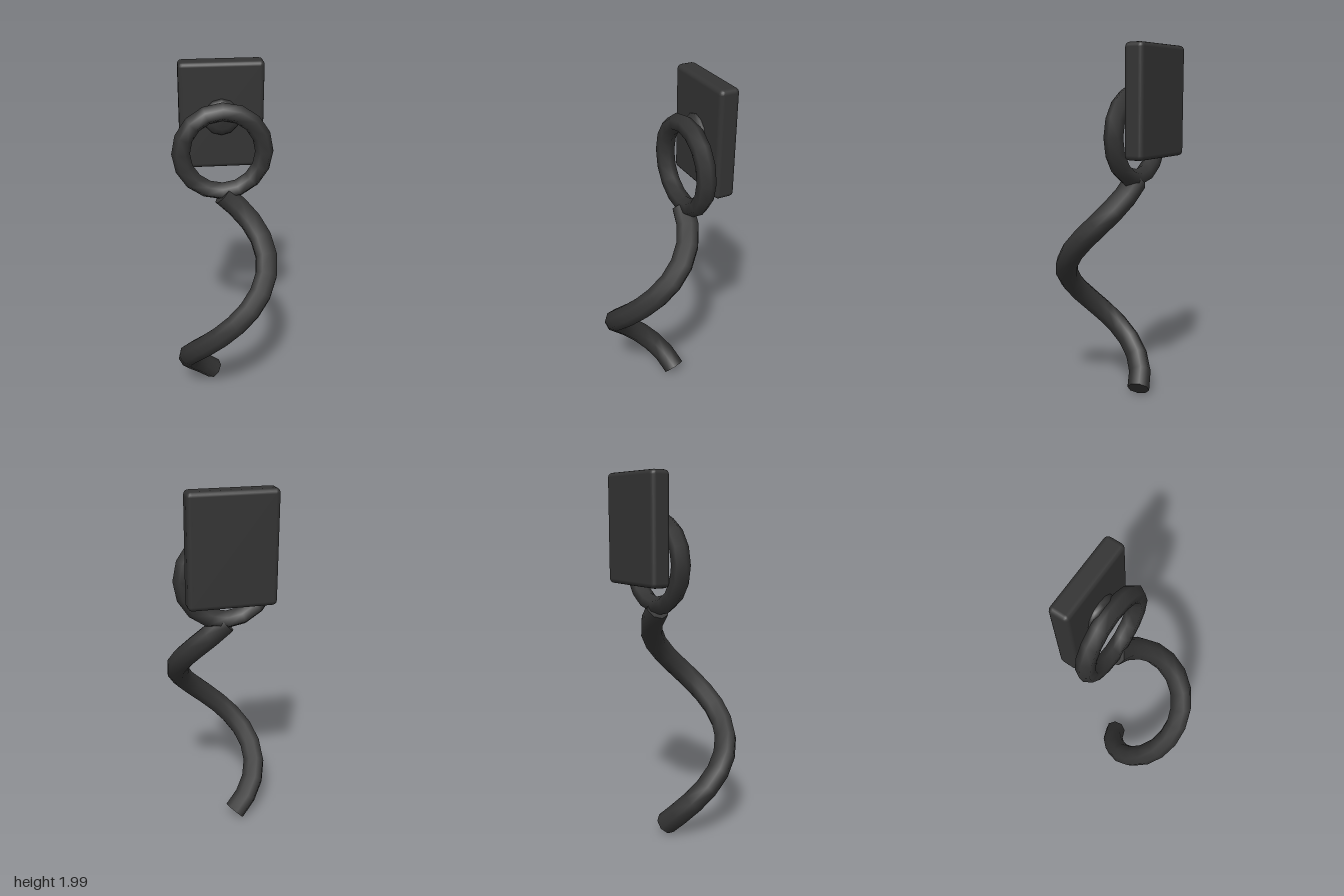
import * as THREE from 'three';
import { RoundedBoxGeometry } from 'three/addons/geometries/RoundedBoxGeometry.js';

export function createModel() {
  const model = new THREE.Group();
  const black = new THREE.MeshStandardMaterial({ color: 0x333333 });
  black.name = 'matte black';

  const add = (name, geometry, x = 0, y = 0, z = 0) => {
    const mesh = new THREE.Mesh(geometry, black);
    mesh.name = name;
    mesh.position.set(x, y, z);
    model.add(mesh);
    return mesh;
  };

  // Wall plate with softened edges
  add('backPlate', new RoundedBoxGeometry(0.462, 0.59, 0.11, 2, 0.025), 0.002, 1.705, -0.27);

  // Domed stud that carries the ring
  const studProfile = [[0.1, -0.01], [0.1, 0.012], [0.088, 0.028], [0.06, 0.045], [0, 0.056]]
    .map(([r, h]) => new THREE.Vector2(r, h));
  add('stud', new THREE.LatheGeometry(studProfile, 12), 0, 1.705, -0.216).rotation.x = Math.PI / 2;

  // Hanging ring
  add('ring', new THREE.TorusGeometry(0.23, 0.051, 6, 16), 0, 1.523, -0.155);

  // Twisted rod: a slightly oval helix, almost one full turn
  const top = 1.275, bottom = 0.052, quarterDrop = 0.32;
  const points = [];
  for (let i = 0; i <= 32; i++) {
    const y = top + (bottom - top) * i / 32;
    const t = (Math.PI / 2) * (top - y) / quarterDrop;
    points.push(new THREE.Vector3(0.227 * Math.sin(t), y, 0.057 - 0.206 * Math.cos(t)));
  }
  const path = new THREE.CatmullRomCurve3(points);
  const radius = 0.064, sides = 8;
  add('twistedRod', new THREE.TubeGeometry(path, 16, radius, sides, false));

  // Flat caps matching the rod's end frames
  const frames = path.computeFrenetFrames(16, false);
  for (const [name, i, sign] of [['rodTopCap', 0, -1], ['rodBottomCap', 16, 1]]) {
    const cap = new THREE.CircleGeometry(radius, sides);
    const out = frames.tangents[i].clone().multiplyScalar(sign);
    const xAxis = frames.normals[i];
    const yAxis = new THREE.Vector3().crossVectors(out, xAxis);
    cap.applyMatrix4(new THREE.Matrix4().makeBasis(xAxis, yAxis, out));
    const p = path.getPointAt(i / 16);
    add(name, cap, p.x, p.y, p.z);
  }
  return model;
}
